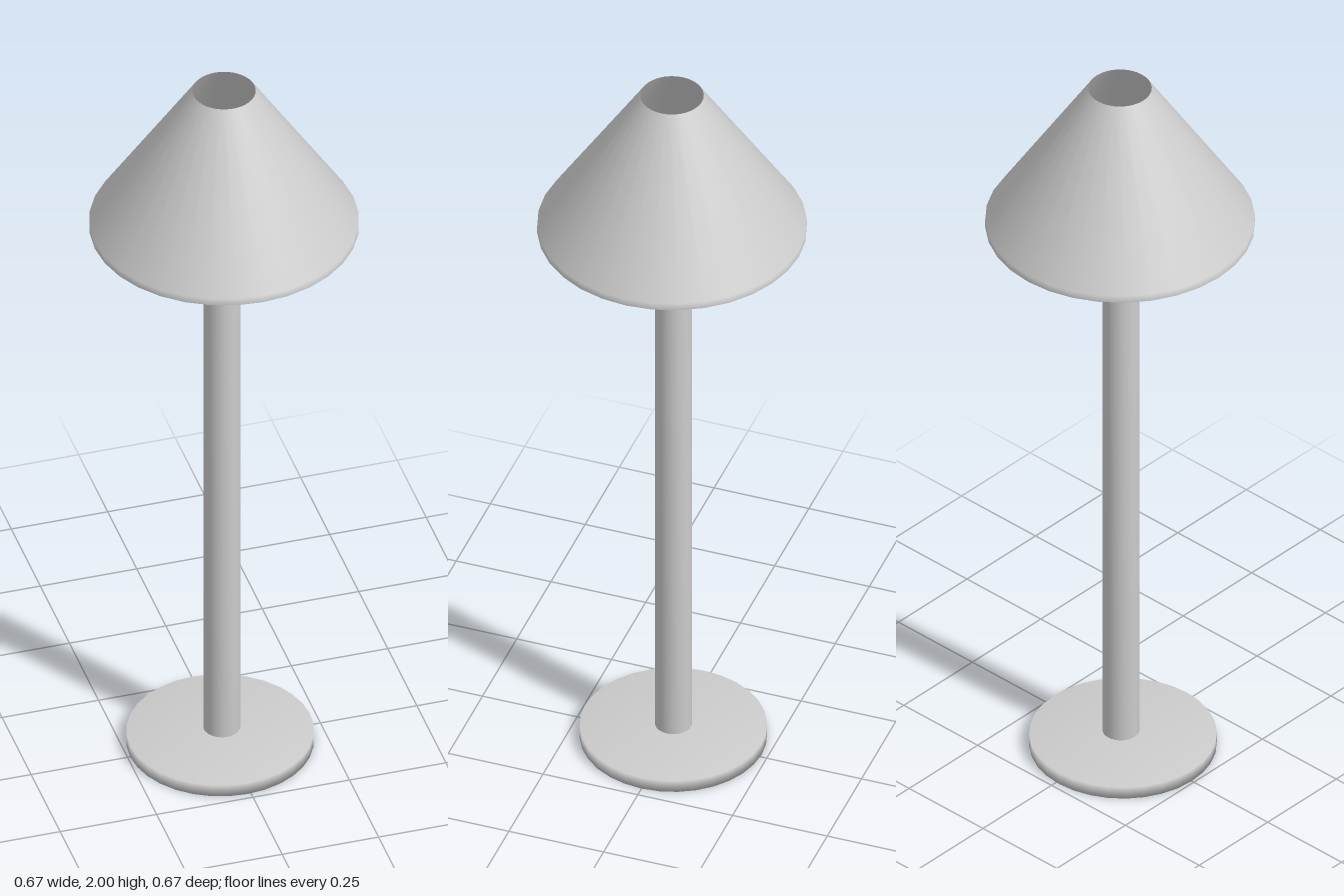
import * as THREE from 'three';

const SIDES = 32;

// Smooth turned part from a profile of [radius, height] pairs, listed bottom to top
function turned(name, profile, x = 0, z = 0, side = THREE.FrontSide) {
  const points = profile.map(([r, y]) => new THREE.Vector2(r, y));
  const material = new THREE.MeshStandardMaterial({ color: 0xcccccc, side });
  const mesh = new THREE.Mesh(new THREE.LatheGeometry(points, SIDES), material);
  mesh.name = name;
  mesh.position.set(x, 0, z);
  return mesh;
}

// Closed cylinder profile
const disc = (radius, bottom, top) => [[0, bottom], [radius, bottom], [radius, top], [0, top]];

export function createModel() {
  const lamp = new THREE.Group();
  lamp.name = 'floorLamp';

  // Round foot plate
  lamp.add(turned('base', disc(0.233, 0, 0.034), -0.01, 0));

  // Slim pole, ending inside the shade
  lamp.add(turned('pole', disc(0.046, 0.042, 1.74), -0.005, -0.002));

  // Thin open cone with a short upright rim
  lamp.add(turned('shade', [[0.335, 1.584], [0.335, 1.604], [0.079, 2]], 0, 0, THREE.DoubleSide));

  return lamp;
}
